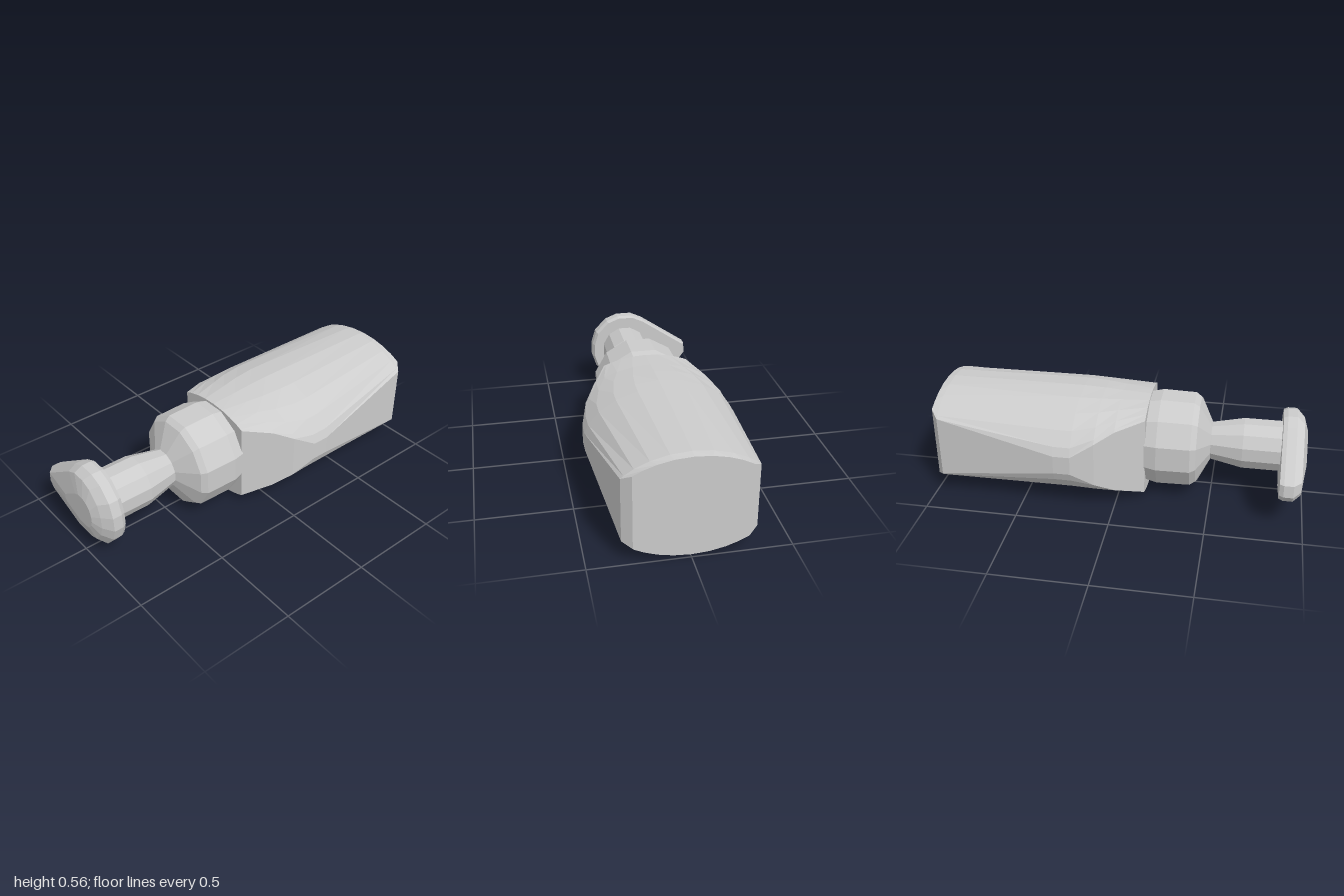
import * as THREE from 'three';

const CY = 0.277; // height of the long axis

// Skin a stack of rings (counter-clockwise seen from +z, z increasing) and cap both ends.
function loft(rings) {
  const pos = [];
  const tri = (...pts) => pts.forEach((p) => pos.push(p.x, p.y, p.z));
  const n = rings[0].length;
  const centre = (ring) =>
    ring.reduce((c, p) => c.add(p), new THREE.Vector3()).divideScalar(n);
  for (let r = 0; r < rings.length - 1; r++) {
    const a = rings[r], b = rings[r + 1];
    for (let i = 0; i < n; i++) {
      const j = (i + 1) % n;
      tri(a[i], a[j], b[i]);
      tri(a[j], b[j], b[i]);
    }
  }
  const back = rings[0], front = rings[rings.length - 1];
  const cb = centre(back), cf = centre(front);
  for (let i = 0; i < n; i++) {
    const j = (i + 1) % n;
    tri(cb, back[j], back[i]);
    tri(cf, front[i], front[j]);
  }
  const geo = new THREE.BufferGeometry();
  geo.setAttribute('position', new THREE.Float32BufferAttribute(pos, 3));
  geo.computeVertexNormals();
  return geo;
}

// Ellipse cut off vertically at x = +-w, with flat sides.
function bottleRing(z, w, top, bottom) {
  const A = 0.415, N = 10, ring = [];
  const mid = (top + bottom) / 2, h = (top - bottom) / 2;
  for (const side of [1, -1]) {
    for (let i = 0; i <= N; i++) {
      const x = side * w * Math.cos((Math.PI * i) / N);
      const y = mid + side * h * Math.sqrt(1 - (x / A) ** 2);
      ring.push(new THREE.Vector3(x, y, z));
    }
  }
  return ring;
}

function roundRing(z, radius, sides = 12) {
  return Array.from({ length: sides }, (_, i) => {
    const t = ((i + 0.5) / sides) * Math.PI * 2;
    return new THREE.Vector3(radius * Math.cos(t), CY + radius * Math.sin(t), z);
  });
}

export function createModel() {
  const group = new THREE.Group();
  const material = new THREE.MeshStandardMaterial({ color: 0xcccccc, flatShading: true });
  const add = (name, rings) => {
    const mesh = new THREE.Mesh(loft(rings), material);
    mesh.name = name;
    group.add(mesh);
  };

  // Oval bottle: z, half width, top, bottom
  add('bottle', [
    [-1, 0.28, 0.548, 0.015],
    [-0.96, 0.328, 0.555, 0],
    [-0.31, 0.408, 0.555, 0],
    [-0.22, 0.408, 0.555, 0],
    [-0.1, 0.372, 0.55, 0],
    [0.0, 0.315, 0.543, 0.002],
    [0.15, 0.235, 0.535, 0.004],
  ].map((s) => bottleRing(...s)));

  // Screw collar: z, radius
  add('collar', [
    [0.145, 0.25], [0.21, 0.266], [0.39, 0.262], [0.42, 0.24], [0.49, 0.1],
  ].map((s) => roundRing(...s)));

  // Pump stem
  add('stem', [
    [0.47, 0.1], [0.49, 0.105], [0.66, 0.14], [0.88, 0.14],
  ].map((s) => roundRing(...s)));

  // Teardrop pump head with the spout towards -x
  const outline = [
    [0.06, 0.065], [0.12, 0.085], [0.185, 0.16], [0.207, 0.23], [0.205, 0.31],
    [0.18, 0.39], [0.11, 0.46], [0.04, 0.487], [-0.05, 0.487], [-0.12, 0.455],
    [-0.395, 0.27], [-0.4, 0.205], [-0.37, 0.165], [-0.08, 0.065],
  ];
  // z, scale, point scaled about
  add('pumpHead', [
    [0.863, 0.96, -0.1], [0.885, 1, 0], [0.935, 1, 0], [0.975, 0.84, -0.12], [1, 0.42, 0.03],
  ].map(([z, s, cx]) => outline.map(([x, y]) =>
    new THREE.Vector3(cx + (x - cx) * s, CY + (y - CY) * s, z))));

  return group;
}
